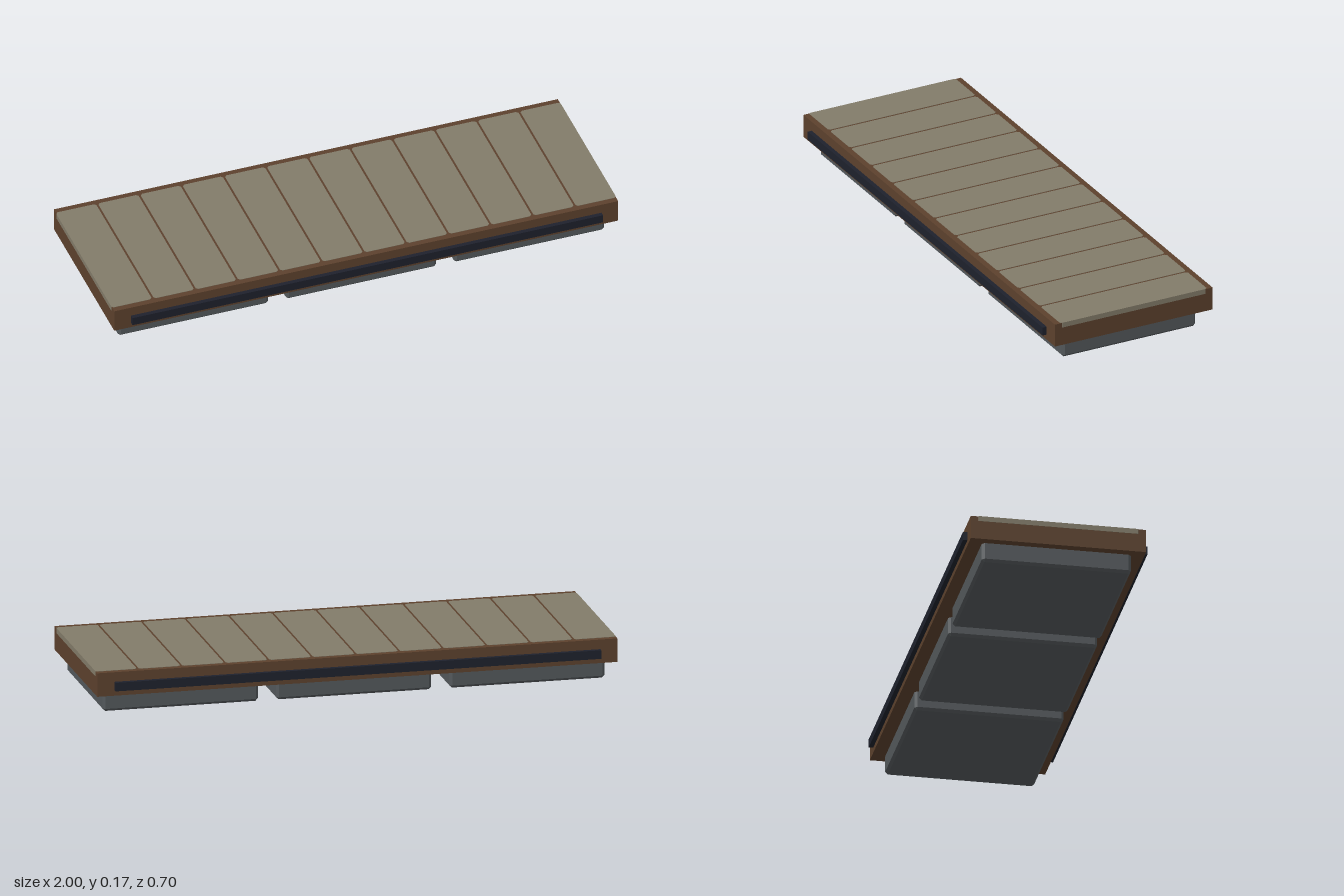
import * as THREE from 'three';
import { ConvexGeometry } from 'three/addons/geometries/ConvexGeometry.js';

const mat = (name, color) => {
  const m = new THREE.MeshStandardMaterial({ color });
  m.name = name;
  return m;
};

// Box with every edge and corner chamfered by b
function chamferBox(w, h, d, b) {
  const pts = [];
  for (const sx of [-1, 1]) for (const sy of [-1, 1]) for (const sz of [-1, 1]) {
    const x = w / 2, y = h / 2, z = d / 2;
    pts.push(
      new THREE.Vector3(sx * x, sy * (y - b), sz * (z - b)),
      new THREE.Vector3(sx * (x - b), sy * y, sz * (z - b)),
      new THREE.Vector3(sx * (x - b), sy * (y - b), sz * z));
  }
  return new ConvexGeometry(pts);
}

// Flat board with clipped corners, its underside on y = 0
function boardGeometry(w, h, d, c) {
  const x = w / 2, z = d / 2;
  const shape = new THREE.Shape([
    [-x + c, -z], [x - c, -z], [x, -z + c], [x, z - c],
    [x - c, z], [-x + c, z], [-x, z - c], [-x, -z + c],
  ].map(([a, b]) => new THREE.Vector2(a, b)));
  return new THREE.ExtrudeGeometry(shape, { depth: h, bevelEnabled: false }).rotateX(-Math.PI / 2);
}

export function createModel() {
  const group = new THREE.Group();
  group.name = 'floatingDock';
  const brown = mat('brownTimber', 0x5c412d);
  const weathered = mat('weatheredPlank', 0x827b69);
  const grey = mat('greyFloat', 0x53585b);
  const rubber = mat('darkRubber', 0x1e212c);

  const add = (name, geometry, material, x, y, z) => {
    const mesh = new THREE.Mesh(geometry, material);
    mesh.name = name;
    mesh.position.set(x, y, z);
    group.add(mesh);
  };

  // Timber frame
  add('frame', new THREE.BoxGeometry(1.998, 0.091, 0.666), brown, 0, 0.1195, 0);

  // Deck planks let into the frame, with narrow gaps
  const count = 12, gap = 0.008;
  const width = (2 - gap * (count - 1)) / count;
  const plank = boardGeometry(width, 0.02, 0.62, 0.008);
  for (let i = 0; i < count; i++) {
    add('plank', plank, weathered, -1 + width / 2 + i * (width + gap), 0.1463, 0);
  }

  // Three floats under the frame, their tops hidden inside it
  const float = chamferBox(0.597, 0.1, 0.566, 0.01);
  for (const x of [-0.666, 0, 0.666]) add('float', float, grey, x, 0.05, 0);

  // Rubber fenders along both long sides
  const fender = new THREE.BoxGeometry(1.866, 0.033, 0.034);
  for (const s of [-1, 1]) add('fender', fender, rubber, 0, 0.1115, s * 0.333);

  return group;
}
